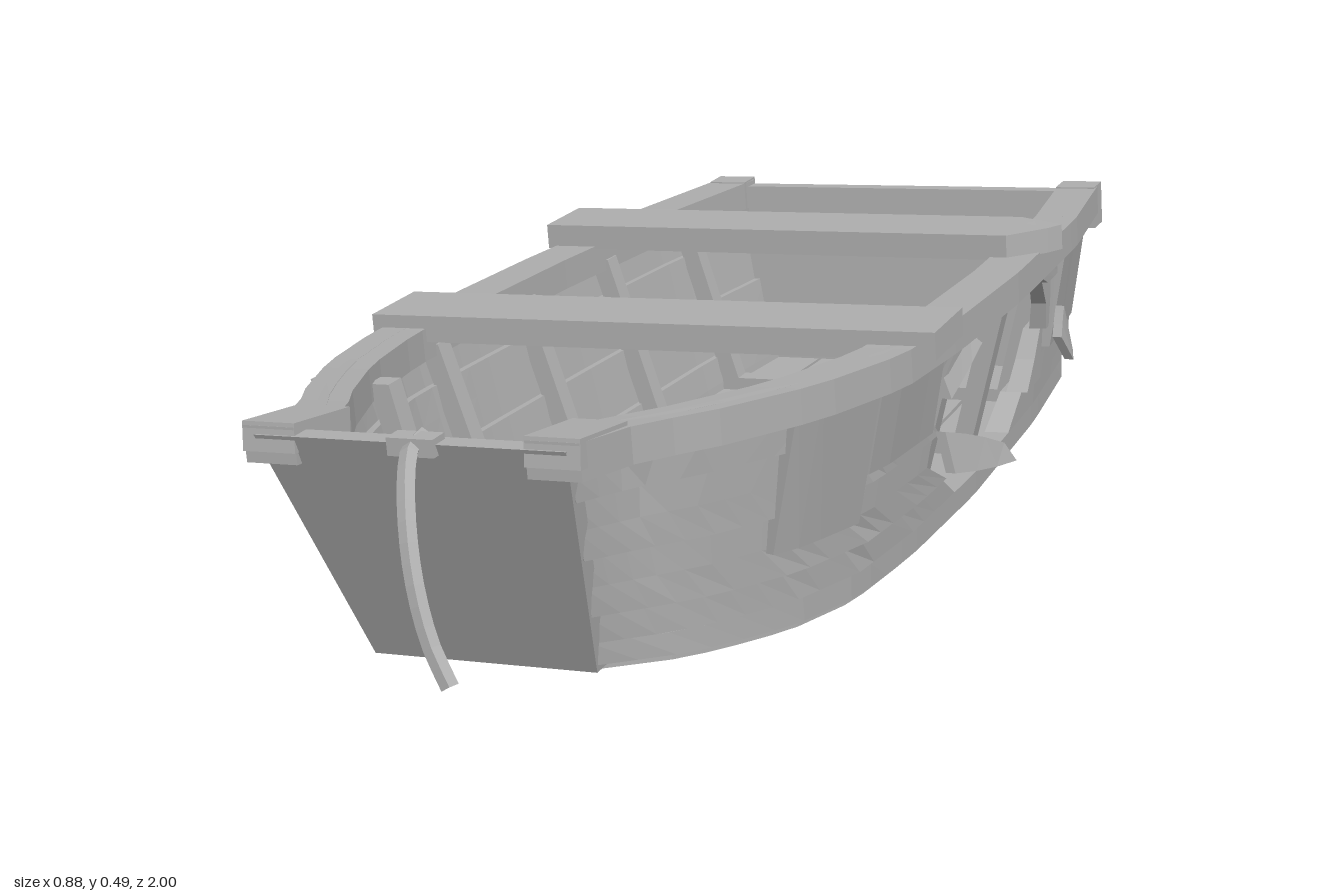
import * as THREE from 'three';

const wood = new THREE.MeshStandardMaterial({ color: 0xb0b0b0, flatShading: true });
wood.name = 'weathered grey wood';

// Hull stations: chine z, half width, y, then sheer z, half width, y
const STATIONS = [
  [-0.975, 0.265, 0.025, -0.99, 0.325, 0.375],
  [-0.7, 0.29, 0.028, -0.7, 0.36, 0.383],
  [-0.3, 0.305, 0.033, -0.3, 0.378, 0.395],
  [0, 0.305, 0.045, 0, 0.378, 0.405],
  [0.2, 0.295, 0.057, 0.22, 0.37, 0.415],
  [0.36, 0.265, 0.075, 0.42, 0.325, 0.43],
  [0.5, 0.22, 0.098, 0.6, 0.255, 0.447],
  [0.58, 0.193, 0.115, 0.7, 0.203, 0.458],
  [0.7, 0.142, 0.145, 0.84, 0.194, 0.478],
];
const STERN = -0.975, BOW = 0.7;
const RIBS = [-0.75, -0.45, -0.16, 0.14, 0.425];
const lerp = THREE.MathUtils.lerp;

// Point on the hull side: z along the chine, u from chine (0) to sheer (1)
function hull(z, u) {
  let i = 0;
  while (i < STATIONS.length - 2 && z > STATIONS[i + 1][0]) i++;
  const a = STATIONS[i], b = STATIONS[i + 1];
  const t = (z - a[0]) / (b[0] - a[0]);
  const s = a.map((v, k) => lerp(v, b[k], t));
  return { x: lerp(s[1], s[4], u), y: lerp(s[2], s[5], u), z: lerp(s[0], s[3], u) };
}

// Hull point moved outward by d, square to the side in plan
function skin(z, u, d) {
  const q = hull(z, u), a = hull(z - 0.02, u), b = hull(z + 0.02, u);
  const dx = b.x - a.x, dz = b.z - a.z, len = Math.hypot(dx, dz);
  return { x: q.x + (d * dz) / len, y: q.y, z: q.z - (d * dx) / len };
}

// Chine position whose hull point at height u lies at the wanted z
function stationAt(z, u) {
  let s = z;
  for (let i = 0; i < 8; i++) s += 0.6 * (z - hull(s, u).z);
  return s;
}

// Plank thickness, heavier towards the chine
const thickness = (u) => 0.014 + 0.028 * (1 - u);

// Box whose vertices (0..1 on each axis) are moved by a rule; keeps faces outward
function bent(name, nu, nv, rule) {
  const g = new THREE.BoxGeometry(1, 1, 1, nu, nv, 1);
  const p = g.attributes.position, idx = g.index.array;
  for (let i = 0; i < p.count; i++) {
    p.setXYZ(i, ...rule(p.getX(i) + 0.5, p.getY(i) + 0.5, p.getZ(i) + 0.5));
  }
  let volume = 0;
  const [a, b, c] = [0, 1, 2].map(() => new THREE.Vector3());
  for (let i = 0; i < idx.length; i += 3) {
    [a, b, c].forEach((v, k) => v.fromBufferAttribute(p, idx[i + k]));
    volume += a.dot(b.cross(c));
  }
  if (volume < 0) {
    for (let i = 0; i < idx.length; i += 3) [idx[i], idx[i + 1]] = [idx[i + 1], idx[i]];
  }
  g.computeVertexNormals();
  const m = new THREE.Mesh(g, wood);
  m.name = name;
  return m;
}

function box(name, size, pos, rot = [0, 0, 0]) {
  const m = new THREE.Mesh(new THREE.BoxGeometry(...size), wood);
  m.name = name;
  m.position.set(...pos);
  m.rotation.set(...rot);
  return m;
}

// Flat board cut to an outline of [x, z] points
function board(name, points, depth, y) {
  const shape = new THREE.Shape(points.map(([x, z]) => new THREE.Vector2(x, -z)));
  const g = new THREE.ExtrudeGeometry(shape, { depth, bevelEnabled: false });
  g.rotateX(-Math.PI / 2);
  const m = new THREE.Mesh(g, wood);
  m.name = name;
  m.position.y = y;
  return m;
}

// Ragged hole: its front and back ends at each eighth of the side's height
const HOLE_FRONT = [0, -0.2, -0.12, -0.02, -0.04, 0.02, -0.06, -0.2, 0];
const HOLE_BACK = [0, -0.52, -0.6, -0.64, -0.67, -0.66, -0.62, -0.5, 0];

// One half-width strip of a lapped side plank
function strake(side, row, za, zb, n) {
  return bent('sidePlank', n, 1, (s, v, w) => {
    const u = Math.max(0.03, (row + v) / 8);
    const lap = 0.01 * (1 - (row % 2 + v) / 2);
    const q = skin(lerp(za[v], zb[v], s), u, lap - thickness(u) * (1 - w));
    return [side * q.x, q.y, q.z];
  });
}

// Repair board lying over the planks; flare lifts its front end off the hull
function patch(side, z0, z1, u0, u1, flare = 0) {
  return bent('patchBoard', 4, 1, (s, v, w) => {
    const u = lerp(u0, u1, v);
    const q = skin(stationAt(lerp(z0, z1, s), u), u, 0.017 * w + flare * s * s);
    return [side * q.x, q.y, q.z];
  });
}

export function createModel() {
  const model = new THREE.Group();
  model.name = 'wreckedRowingBoat';
  const boat = new THREE.Group();
  boat.name = 'hull';
  boat.rotation.z = 0.073; // the boat leans to one side
  boat.position.y = -0.004;
  model.add(boat);

  // Bottom planks with narrow gaps
  for (let k = 0; k < 5; k++) {
    boat.add(bent('floorPlank', 28, 1, (s, v, w) => {
      const q = hull(lerp(STERN, BOW, s), 0);
      const x = lerp(-1, 1, (k + w) / 5) * q.x;
      const gap = (w ? k < 4 : k > 0) ? 0.003 : 0;
      return [x + (w ? -gap : gap), q.y + 0.032 * v, q.z];
    }));
  }

  // Lapped sides, the +x side broken open
  for (const side of [1, -1]) {
    for (let row = 0; row < 8; row++) {
      const ends = [[STERN, STERN], [BOW, BOW]];
      if (side > 0 && row >= 1 && row <= 6) {
        boat.add(strake(side, row, ends[0], HOLE_BACK.slice(row, row + 2), 8));
        boat.add(strake(side, row, HOLE_FRONT.slice(row, row + 2), ends[1], 18));
      } else {
        boat.add(strake(side, row, ...ends, 28));
      }
    }

    // Top rail and its end blocks
    boat.add(bent('topRail', 32, 1, (s, v, w) => {
      const q = hull(lerp(STERN, BOW, s), 1);
      return [side * (q.x + lerp(-0.045, 0.023, w)), q.y - 0.046 * (1 - v), q.z];
    }));
    boat.add(box('sternBlock', [0.066, 0.07, 0.05], [side * 0.317, 0.343, -0.975]));
    boat.add(box('bowBlock', [0.07, 0.036, 0.13], [side * 0.183, 0.456, 0.777], [-0.14, 0, 0]));

    // Ribs standing against the planking
    for (const z of RIBS) {
      boat.add(bent('rib', 1, 1, (s, v, w) => {
        const u = lerp(0.08, 0.92, v);
        const q = hull(z, u);
        const x = q.x - thickness(u) - lerp(0.026, -0.004, w);
        return [side * x, q.y, z + lerp(-0.017, 0.017, s)];
      }));
    }
  }

  // Battens across the floor
  for (const z of RIBS) {
    const q = hull(z, 0.08);
    boat.add(box('floorBatten', [q.x * 2 - 0.06, 0.022, 0.034], [0, q.y + 0.014, z]));
  }

  // Stern board between the planks
  boat.add(bent('sternBoard', 1, 1, (s, v, w) => {
    const q = hull(STERN, v * 0.98);
    return [lerp(-1, 1, s) * q.x, q.y, q.z + 0.025 * w];
  }));

  // Bow board covering the plank ends
  boat.add(bent('bowBoard', 1, 1, (s, v, w) => {
    const q = hull(BOW, v * 0.97);
    return [lerp(-1, 1, s) * (q.x + 0.009), q.y, q.z + lerp(-0.022, 0.008, w)];
  }));

  // Seats laid across the rails, the rear one splintered at one end
  boat.add(box('frontSeat', [0.83, 0.038, 0.13], [0.005, 0.413, 0.115], [0, 0.012, 0]));
  boat.add(board('rearSeat', [[-0.41, -0.525], [0.345, -0.52], [0.42, -0.475],
    [0.405, -0.45], [0.355, -0.395], [-0.41, -0.4]], 0.038, 0.388));
  boat.add(box('splinter', [0.045, 0.02, 0.05], [0.365, 0.413, -0.455], [0.1, 0.4, 0.1]));

  // Loose boards on the floor
  boat.add(board('looseFloorBoard', [[-0.19, -0.185], [-0.1, -0.175], [0.17, -0.17],
    [0.17, 0.03], [-0.225, 0.04]], 0.016, 0.1));
  boat.add(board('looseFloorBoard', [[-0.225, 0.04], [0.17, 0.03], [0.15, 0.225], [-0.11, 0.2]], 0.016, 0.1));

  // Repair boards on both sides
  boat.add(patch(1, 0.25, 0.44, 0.36, 0.97));
  boat.add(patch(1, 0.02, 0.245, 0.55, 0.9));
  boat.add(patch(1, -0.92, -0.69, 0.4, 0.9));
  boat.add(patch(-1, 0.13, 0.43, 0.25, 0.95, 0.03));
  boat.add(patch(-1, -0.2, -0.05, 0.45, 0.88));
  boat.add(patch(-1, -0.45, -0.22, 0.35, 0.8));
  boat.add(patch(-1, -0.85, -0.55, 0.4, 0.86));

  // Broken plank ends hanging out of the hole
  const shards = [
    [[0.372, 0.215, -0.65], [0.442, 0.258, -0.39], 0.036],
    [[0.372, 0.21, 0.0], [0.4, 0.15, -0.21], 0.03],
    [[0.365, 0.3, -0.02], [0.37, 0.335, -0.16], 0.018],
  ];
  for (const [a, b, h] of shards) {
    boat.add(bent('brokenPlank', 3, 1, (s, v, w) => {
      const taper = h * (1 - 0.45 * s * s);
      return [lerp(a[0], b[0], s) + lerp(-0.007, 0.007, w) + 0.012 * (0.5 - v),
        lerp(a[1], b[1], s) + lerp(-taper, taper, v), lerp(a[2], b[2], s) + 0.02 * s * v];
    }));
  }

  // Mooring rope over the bow
  const path = new THREE.CatmullRomCurve3([[-0.03, 0.462, 0.81], [-0.025, 0.458, 0.85], [0.0, 0.42, 0.91],
    [0.03, 0.35, 0.955], [0.06, 0.285, 0.978], [0.09, 0.24, 0.99]].map((p) => new THREE.Vector3(...p)));
  const rope = new THREE.Mesh(new THREE.TubeGeometry(path, 14, 0.011, 5), wood);
  rope.name = 'rope';
  model.add(rope);
  model.add(box('ropeCleat', [0.06, 0.022, 0.03], [-0.026, 0.46, 0.835], [0, 0, 0.073]));
  return model;
}
